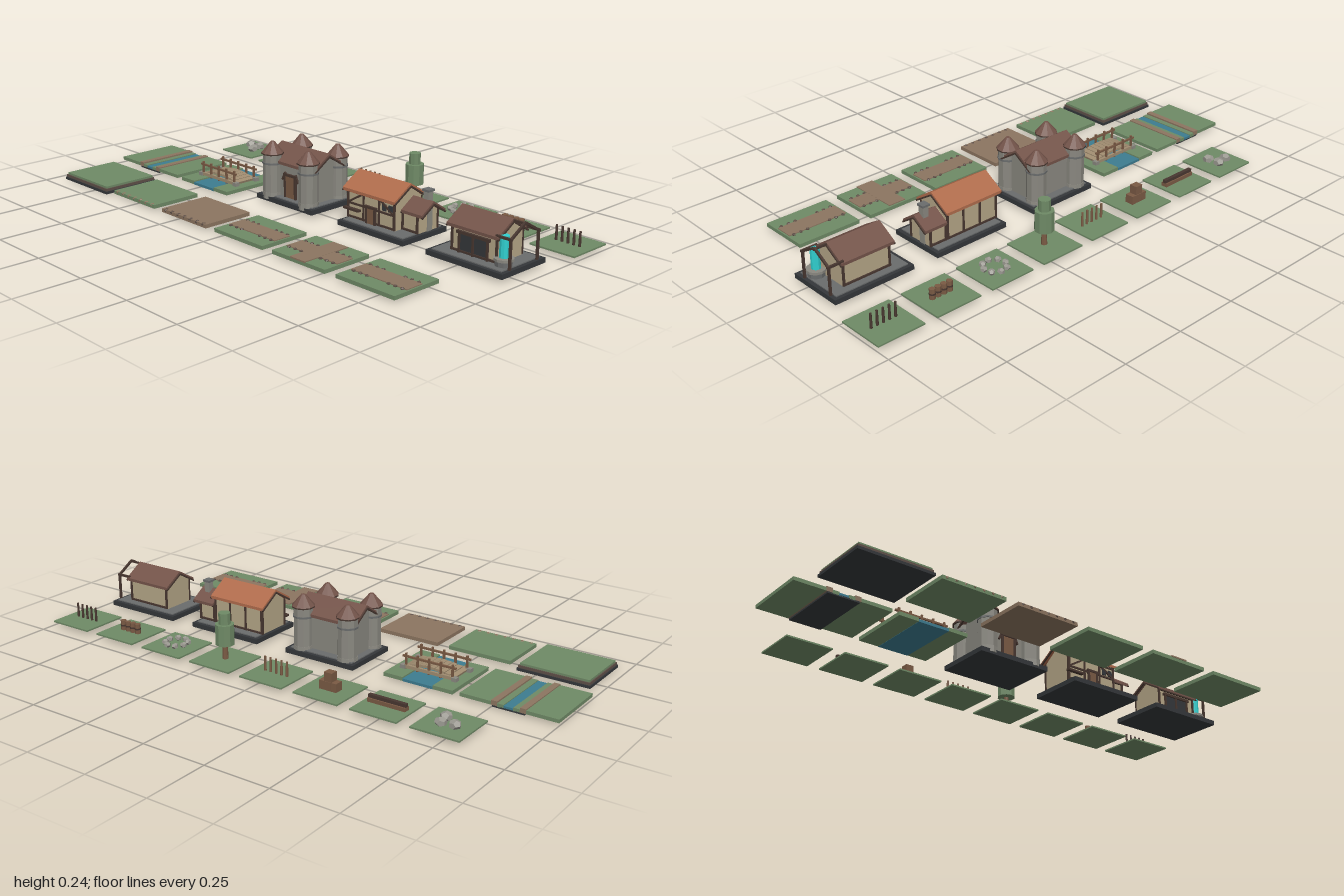
import * as THREE from 'three';

const C = { green: 0x6f8a66, dirt: 0x8c7560, cliff: 0x5f5048, roof: 0x74544a, tile: 0xb06c4c, stone: 0x8a8880, rock: 0x9a9890,
  plaster: 0xb5a687, timber: 0x483730, slab: 0x34373a, paving: 0x6a6c6c, water: 0x3d7c90, glow: 0x30cfcf, wood: 0x7a5a44, plank: 0xa08c70 };
const mats = {};
const mat = (k) => (mats[k] ??= new THREE.MeshStandardMaterial({ color: C[k], flatShading: true }));

function add(g, name, geo, k, x = 0, y = 0, z = 0) {
  const m = new THREE.Mesh(geo, mat(k));
  m.name = name;
  m.position.set(x, y, z);
  g.add(m);
  return m;
}
// box from its extents
const box = (g, name, k, x0, x1, y0, y1, z0, z1) =>
  add(g, name, new THREE.BoxGeometry(x1 - x0, y1 - y0, z1 - z0), k, (x0 + x1) / 2, (y0 + y1) / 2, (z0 + z1) / 2);
// upright cylinder from y0 to y1
const cyl = (g, name, k, x, z, y0, y1, r0, r1 = r0, n = 8) =>
  add(g, name, new THREE.CylinderGeometry(r1, r0, y1 - y0, n), k, x, (y0 + y1) / 2, z);
// square beam between two points
function beam(g, name, a, b, t = 0.007, k = 'timber') {
  const p = new THREE.Vector3(...a), q = new THREE.Vector3(...b);
  const m = add(g, name, new THREE.BoxGeometry(t, t, p.distanceTo(q)), k);
  m.position.copy(p).lerp(q, 0.5);
  m.lookAt(q);
}
const rock = (g, x, y, z, r, k = 'rock', flat = 0.8) => {
  const m = add(g, 'rock', new THREE.DodecahedronGeometry(r), k, x, y, z);
  m.scale.y = flat;
  m.rotation.y = x * 37 + z * 11;
};
// profile in (z, y), extruded along x
function alongX(g, name, k, pts, x0, x1, zc) {
  const geo = new THREE.ExtrudeGeometry(new THREE.Shape(pts.map((p) => new THREE.Vector2(...p))), { depth: x1 - x0, bevelEnabled: false });
  add(g, name, geo.rotateY(Math.PI / 2), k, x0, 0, zc);
}
const gableBody = (g, k, x0, x1, y0, ye, ya, hw, zc) =>
  alongX(g, 'walls', k, [[-hw, y0], [hw, y0], [hw, ye], [0, ya], [-hw, ye]], x0, x1, zc);
function gableRoof(g, k, x0, x1, ye, ya, hw, zc, t = 0.011) {
  alongX(g, 'roof', k, [[hw, ye], [0, ya], [-hw, ye], [-hw, ye - t], [0, ya - t], [hw, ye - t]], x0, x1, zc);
  for (const x of [x0, x1]) for (const s of [-1, 1])
    beam(g, 'bargeBoard', [x, ye - t, zc + s * hw], [x, ya - t, zc], 0.006);
}
function foundation(g, x0, x1) {
  box(g, 'foundation', 'slab', x0, x1, 0.012, 0.03, -0.166, 0.061);
  box(g, 'paving', 'paving', x0 + 0.014, x1 - 0.014, 0.03, 0.034, -0.152, 0.047);
}
// timber posts and rails on the front and back walls
function framing(g, xs, y0, y1, zf, zb) {
  for (const z of [zf, zb]) {
    for (const x of xs) beam(g, 'wallPost', [x, y0, z], [x, y1, z]);
    for (const y of [y0 + 0.004, y1 - 0.004]) beam(g, 'wallRail', [xs[0], y, z], [xs.at(-1), y, z]);
  }
}
function door(g, x0, x1, y1, z) {
  box(g, 'door', 'wood', x0, x1, 0.034, y1, z - 0.004, z + 0.004);
  for (const x of [x0, x1]) beam(g, 'doorPost', [x, 0.034, z + 0.003], [x, y1, z + 0.003], 0.008);
  beam(g, 'lintel', [x0 - 0.008, y1, z + 0.003], [x1 + 0.008, y1, z + 0.003], 0.009);
}

function castle(g) {
  foundation(g, -0.219, 0.08);
  gableBody(g, 'stone', -0.18, 0.04, 0.03, 0.162, 0.208, 0.07, -0.05);
  gableRoof(g, 'roof', -0.2, 0.06, 0.168, 0.22, 0.08, -0.05);
  for (const x of [-0.168, 0.027]) for (const z of [-0.124, 0.026]) {
    cyl(g, 'tower', 'stone', x, z, 0.02, 0.194, 0.037, 0.037, 10);
    cyl(g, 'towerFoot', 'stone', x, z, 0.02, 0.045, 0.04, 0.038, 10);
    cyl(g, 'towerBand', 'paving', x, z, 0.153, 0.16, 0.04, 0.04, 10);
    cyl(g, 'towerEave', 'timber', x, z, 0.19, 0.195, 0.043, 0.043, 10);
    cyl(g, 'towerRoof', 'roof', x, z, 0.195, 0.237, 0.043, 0.008, 10);
  }
  door(g, -0.1, -0.045, 0.122, 0.022);
  beam(g, 'doorBrace', [-0.115, 0.1, 0.024], [-0.1, 0.13, 0.024]);
  beam(g, 'doorBrace', [-0.03, 0.1, 0.024], [-0.045, 0.13, 0.024]);
}

function house(g) {
  foundation(g, 0.214, 0.529);
  gableBody(g, 'plaster', 0.222, 0.448, 0.034, 0.138, 0.186, 0.068, -0.053);
  gableRoof(g, 'tile', 0.208, 0.458, 0.145, 0.196, 0.082, -0.053);
  framing(g, [0.224, 0.3, 0.375, 0.446], 0.036, 0.137, 0.016, -0.122);
  beam(g, 'wallRail', [0.224, 0.09, 0.016], [0.446, 0.09, 0.016]);
  beam(g, 'wallBrace', [0.226, 0.092, 0.016], [0.298, 0.135, 0.016]);
  beam(g, 'wallBrace', [0.377, 0.135, 0.016], [0.444, 0.092, 0.016]);
  box(g, 'porchShelf', 'timber', 0.212, 0.285, 0.066, 0.074, 0.014, 0.03);
  door(g, 0.318, 0.358, 0.095, 0.017);
  for (const x of [0.39, 0.42]) box(g, 'window', 'slab', x, x + 0.018, 0.098, 0.122, 0.012, 0.019);
  for (const s of [-1, 1]) beam(g, 'gablePost', [0.222, 0.034, -0.053 + s * 0.066], [0.222, 0.14, -0.053 + s * 0.066]);
  // lower side wing
  gableBody(g, 'plaster', 0.448, 0.522, 0.034, 0.106, 0.142, 0.05, -0.07);
  gableRoof(g, 'roof', 0.455, 0.55, 0.11, 0.149, 0.061, -0.07);
  framing(g, [0.455, 0.522], 0.036, 0.106, -0.018, -0.122);
  box(g, 'chimney', 'stone', 0.503, 0.526, 0.034, 0.178, -0.092, -0.068);
  box(g, 'chimneyCap', 'paving', 0.499, 0.53, 0.176, 0.184, -0.096, -0.064);
}

function workshop(g) {
  foundation(g, 0.631, 0.952);
  gableBody(g, 'plaster', 0.698, 0.888, 0.034, 0.126, 0.166, 0.064, -0.058);
  gableRoof(g, 'roof', 0.684, 0.898, 0.13, 0.177, 0.078, -0.058);
  framing(g, [0.7, 0.886], 0.036, 0.126, 0.009, -0.124);
  box(g, 'openFront', 'slab', 0.732, 0.85, 0.034, 0.104, 0, 0.009);
  beam(g, 'lintel', [0.722, 0.106, 0.011], [0.86, 0.106, 0.011], 0.01);
  for (const x of [0.732, 0.79, 0.85]) beam(g, 'frontPost', [x, 0.034, 0.011], [x, 0.104, 0.011]);
  // open gable frame beside the workshop
  for (const z of [-0.13, 0.014]) {
    beam(g, 'porchPost', [0.944, 0.03, z], [0.944, 0.136, z], 0.008);
    beam(g, 'porchRafter', [0.944, 0.132, z], [0.944, 0.174, -0.058], 0.008);
    beam(g, 'porchRail', [0.886, 0.133, z], [0.95, 0.133, z], 0.008);
  }
  beam(g, 'porchRidge', [0.89, 0.17, -0.058], [0.95, 0.17, -0.058], 0.007);
  cyl(g, 'basin', 'paving', 0.908, -0.002, 0.03, 0.054, 0.03, 0.03, 10);
  cyl(g, 'basinRim', 'stone', 0.908, -0.002, 0.052, 0.061, 0.035, 0.035, 10);
  cyl(g, 'glowingColumn', 'glow', 0.908, -0.002, 0.06, 0.136, 0.017, 0.017, 10);
}

function river(g) {
  const z0 = -0.131, z1 = 0.123, c = -0.816;
  for (const s of [-1, 1]) {
    const strip = (name, k, a, b, y0, y1) => box(g, name, k, c + Math.min(s * a, s * b), c + Math.max(s * a, s * b), y0, y1, z0, z1);
    strip('meadow', 'green', 0.065, 0.184, 0.01, 0.023);
    strip('bank', 'dirt', 0.042, 0.065, 0.01, 0.027);
    strip('shore', 'green', 0.018, 0.042, 0.008, 0.021);
  }
  box(g, 'riverBed', 'slab', c - 0.06, c + 0.06, 0.004, 0.01, z0, z1);
  box(g, 'water', 'water', c - 0.018, c + 0.018, 0.008, 0.018, z0, z1);
}

function bridge(g) {
  const c = -0.465;
  for (const [a, b] of [[-0.604, -0.526], [-0.404, -0.326]]) box(g, 'meadow', 'green', a, b, 0.008, 0.022, -0.131, 0.123);
  box(g, 'water', 'water', -0.526, -0.404, 0.007, 0.017, -0.131, 0.123);
  const deckY = (x) => 0.045 - 0.016 * ((x - c) / 0.1) ** 2;
  for (let i = 0; i < 10; i++) {
    const x = c - 0.09 + i * 0.02;
    const p = box(g, 'deckPlank', 'plank', x - 0.009, x + 0.009, deckY(x) - 0.006, deckY(x) + 0.003, -0.05, 0.04);
    p.rotation.z = -3.2 * (x - c);
  }
  for (const z of [-0.055, 0.046]) {
    box(g, 'sideBeam', 'plank', c - 0.1, c + 0.1, 0.024, 0.036, z - 0.005, z + 0.005);
    for (let i = 0; i < 5; i++) beam(g, 'railPost', [c - 0.094 + i * 0.047, 0.02, z], [c - 0.094 + i * 0.047, 0.08, z], 0.007, 'wood');
    beam(g, 'handRail', [c - 0.108, 0.068, z], [c + 0.108, 0.068, z], 0.007, 'wood');
    for (const x of [c - 0.104, c + 0.104]) box(g, 'abutment', 'stone', x - 0.01, x + 0.01, 0.018, 0.036, z - 0.01, z + 0.01);
  }
}

function frontTiles(g) {
  // raised platform
  box(g, 'platformBase', 'slab', -0.957, -0.674, 0, 0.01, 0.2, 0.436);
  box(g, 'platformEarth', 'cliff', -0.953, -0.678, 0.01, 0.02, 0.204, 0.432);
  box(g, 'platformTop', 'green', -0.949, -0.682, 0.018, 0.028, 0.208, 0.428);
  [-0.513, -0.21, 0.092, 0.395, 0.699].forEach((x, i) => {
    box(g, 'groundTile', i === 1 ? 'dirt' : 'green', x - 0.127, x + 0.127, 0.008, 0.022, 0.217, 0.422);
    if (i < 2) { // rocky front edge
      for (let j = 0; j < 7; j++) rock(g, x - 0.108 + j * 0.036, 0.018, 0.415, 0.01, i ? 'cliff' : 'dirt', 0.7);
      return;
    }
    box(g, 'path', 'dirt', x - 0.121, x + 0.121, 0.02, 0.025, 0.288, 0.36);
    if (i === 3) box(g, 'crossPath', 'dirt', x - 0.036, x + 0.036, 0.02, 0.0255, 0.224, 0.424);
    for (const z of [0.286, 0.363]) for (const d of [-0.105, -0.075, -0.047, 0.047, 0.075, 0.105])
      rock(g, x + d, 0.024, z, 0.007, 'cliff', 0.7);
  });
}

function propTiles(g) {
  const Z = -0.355, X = (i) => -0.722 + i * 0.2325;
  for (let i = 0; i < 8; i++) box(g, 'propTile', 'green', X(i) - 0.0915, X(i) + 0.0915, 0.014, 0.02, Z - 0.092, Z + 0.092);
  // boulders
  for (const [x, z] of [[-0.755, -0.373], [-0.707, -0.38], [-0.7, -0.335]]) rock(g, x, 0.032, z, 0.022);
  // low wooden barrier
  box(g, 'logBase', 'wood', X(1) - 0.074, X(1) + 0.074, 0.02, 0.034, Z - 0.012, Z + 0.012);
  box(g, 'logTop', 'timber', X(1) - 0.074, X(1) + 0.074, 0.034, 0.046, Z - 0.007, Z + 0.007);
  // crates
  for (const d of [-0.024, 0, 0.024]) box(g, 'crate', 'wood', X(2) + d - 0.0115, X(2) + d + 0.0115, 0.02, 0.052, Z - 0.017, Z + 0.017);
  box(g, 'topCrate', 'wood', X(2) - 0.016, X(2) + 0.016, 0.052, 0.085, Z - 0.015, Z + 0.015);
  // post rows
  for (const i of [3, 7]) for (let j = -2; j <= 2; j++)
    cyl(g, 'fencePost', i === 3 ? 'wood' : 'timber', X(i) + j * 0.024, Z, 0.02, 0.075, 0.005, 0.004, 6);
  // tree
  cyl(g, 'treeTrunk', 'wood', X(4), Z + 0.003, 0.02, 0.08, 0.011, 0.009);
  cyl(g, 'lowerCrown', 'green', X(4), Z + 0.003, 0.076, 0.154, 0.035, 0.035, 10);
  cyl(g, 'upperCrown', 'green', X(4), Z + 0.003, 0.154, 0.196, 0.022, 0.022, 10);
  // stone ring
  for (let j = 0; j < 8; j++) {
    const a = j * Math.PI / 4 + 0.2;
    rock(g, X(5) + 0.042 * Math.cos(a), 0.031, Z + 0.042 * Math.sin(a), 0.013, 'rock', 0.9);
  }
  // barrels
  for (let j = 0; j < 4; j++) {
    cyl(g, 'barrel', 'wood', X(6) - 0.036 + j * 0.024, Z, 0.02, 0.058, 0.011, 0.011);
    cyl(g, 'barrelHoop', 'timber', X(6) - 0.036 + j * 0.024, Z, 0.036, 0.042, 0.0118, 0.0118);
  }
}

export function createModel() {
  const root = new THREE.Group();
  root.name = 'villageSet';
  for (const [name, build] of Object.entries({ castle, house, workshop, river, bridge, frontTiles, propTiles })) {
    const g = new THREE.Group();
    g.name = name;
    build(g);
    root.add(g);
  }
  return root;
}
